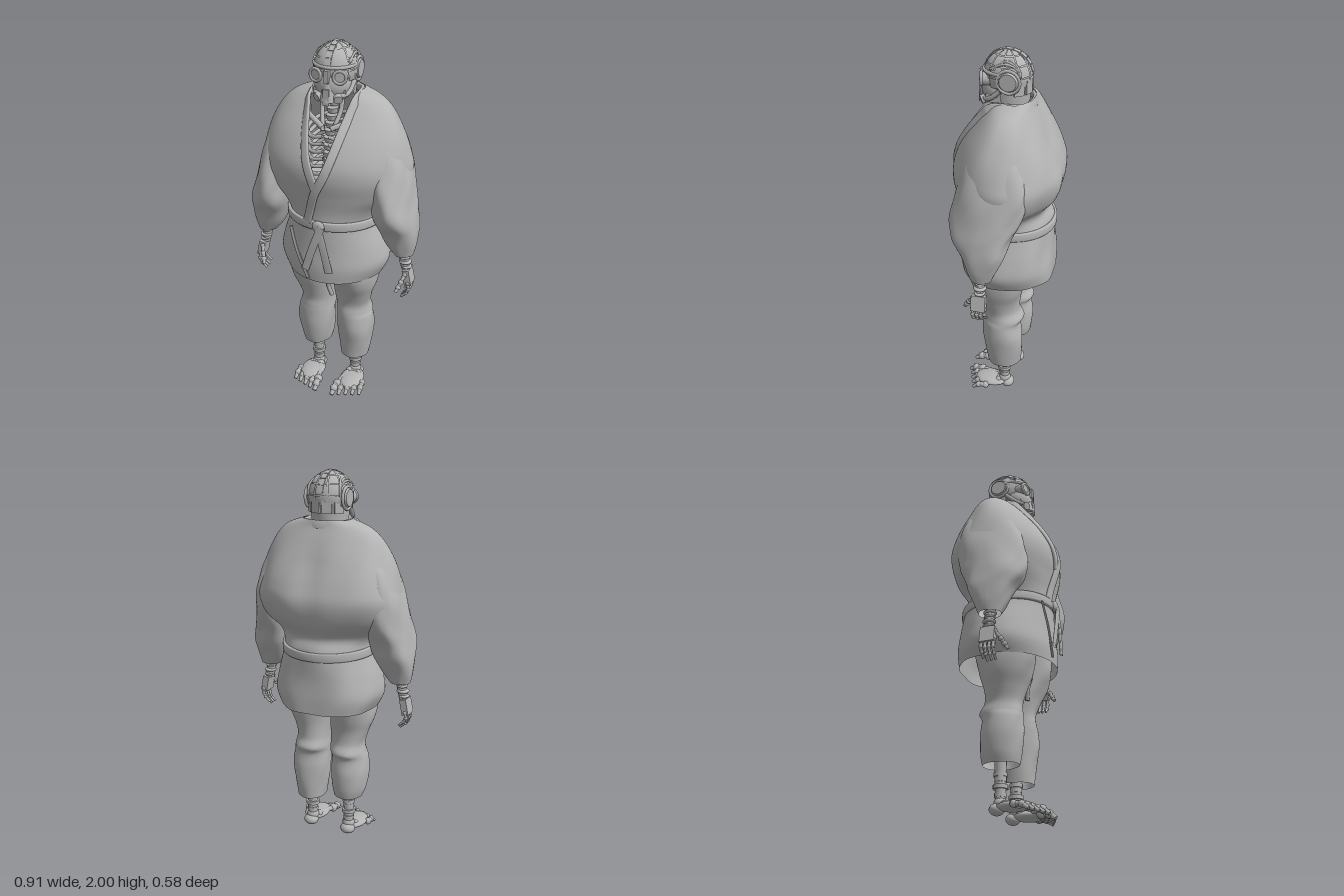
import * as THREE from 'three';
import { mergeVertices } from 'three/addons/utils/BufferGeometryUtils.js';

const grey = new THREE.MeshStandardMaterial({ color: 0xb4b4b4, side: THREE.DoubleSide });
grey.name = 'plain grey';
const V = (x, y, z) => new THREE.Vector3(x, y, z);

function add(parent, name, geo, x = 0, y = 0, z = 0) {
  const m = new THREE.Mesh(geo, grey);
  m.name = name;
  m.position.set(x, y, z);
  parent.add(m);
  return m;
}

function surface(rows, closed = false) {
  const n = rows[0].length, idx = [], pos = rows.flat().flatMap(p => [p.x, p.y, p.z]);
  for (let i = 0; i < rows.length - (closed ? 0 : 1); i++) for (let j = 0; j < n - 1; j++) {
    const a = i * n + j, b = ((i + 1) % rows.length) * n + j;
    idx.push(a, a + 1, b, b, a + 1, b + 1);
  }
  let g = new THREE.BufferGeometry();
  g.setAttribute('position', new THREE.Float32BufferAttribute(pos, 3));
  g.setIndex(idx);
  g = mergeVertices(g, 1e-5);
  g.computeVertexNormals();
  return g;
}

// Smooth cross-section [y, x0, x1, zBack, zFront] at t in 0..1
function section(secs, t) {
  const f = Math.min(t, 0.99999) * (secs.length - 1), i = Math.floor(f), u = f - i;
  const s = k => secs[Math.max(0, Math.min(secs.length - 1, k))];
  return secs[0].map((_, c) => {
    const a = s(i - 1)[c], b = s(i)[c], d = s(i + 1)[c], e = s(i + 2)[c];
    return b + 0.5 * u * (d - a + u * (2 * a - 5 * b + 4 * d - e + u * (3 * (b - d) + e - a)));
  });
}
const power = (v, p) => Math.sign(v) * Math.pow(Math.abs(v), p);

// Cloth loft listed from top to bottom; gap(y) is the half width of a front opening, back < 1 squares the back
function cloth(secs, { folds = () => 0, gap = () => 0, back = 1, rows = 56, cols = 72 } = {}) {
  const out = [];
  for (let i = 0; i <= rows; i++) {
    const [y, x0, x1, zb, zf] = section(secs, i / rows), row = [];
    const cx = (x0 + x1) / 2, cz = (zb + zf) / 2, rx = (x1 - x0) / 2, rz = (zf - zb) / 2;
    const open = Math.asin(Math.min(0.95, gap(y) / rx));
    for (let j = 0; j <= cols; j++) {
      const a = open + (2 * Math.PI - 2 * open) * j / cols, k = 1 + folds(a, y);
      const p = Math.cos(a) < 0 ? back : 1;
      row.push(V(cx + rx * power(Math.sin(a), p) * k, y, cz + rz * power(Math.cos(a), p) * k));
    }
    out.push(row);
  }
  return surface(out);
}

// Flattened band swept along points, facing along normalAt(point)
function band(points, width, thick, normalAt, closed = false) {
  const curve = new THREE.CatmullRomCurve3(points, closed), n = 64, rows = [];
  for (let i = 0; i < n + (closed ? 0 : 1); i++) {
    const p = curve.getPoint(i / n), N = normalAt(p).normalize();
    const side = curve.getTangent(i / n).cross(N).normalize(), row = [];
    for (let j = 0; j <= 12; j++) {
      const a = j / 12 * 2 * Math.PI;
      row.push(p.clone().addScaledVector(side, power(Math.cos(a), 0.5) * width / 2)
        .addScaledVector(N, power(Math.sin(a), 0.5) * thick / 2));
    }
    rows.push(row);
  }
  return surface(rows, closed);
}

// Mechanical bone with a ball joint at its start
function bone(parent, name, a, b, r, r2 = r * 0.8) {
  const d = b.clone().sub(a), m = add(parent, name, new THREE.CylinderGeometry(r2, r, d.length(), 10));
  m.position.copy(a).addScaledVector(d, 0.5);
  m.quaternion.setFromUnitVectors(V(0, 1, 0), d.normalize());
  add(parent, name + 'Joint', new THREE.SphereGeometry(r * 1.3, 10, 8), a.x, a.y, a.z);
}
const tube = (pts, r) => new THREE.TubeGeometry(new THREE.CatmullRomCurve3(pts), 32, r, 8);

const JACKET = [[1.765, .13, -.125, .06], [1.73, .225, -.135, .085], [1.67, .29, -.165, .135], [1.57, .345, -.215, .21],
  [1.46, .38, -.265, .265], [1.37, .392, -.287, .275], [1.27, .35, -.262, .258], [1.18, .265, -.205, .245],
  [1.1, .24, -.23, .245], [.96, .28, -.238, .25], [.86, .295, -.248, .258], [.78, .262, -.25, .255]]
  .map(([y, w, b, f]) => [y, -w, w, b, f]);
const neckGap = y => y > 1.37 ? 0.115 * Math.pow(Math.min(1, (y - 1.37) / 0.39), 0.65) : 0;

// Point on the jacket front
function front(x, y, lift = 0.006) {
  let lo = 0, hi = 1;
  for (let i = 0; i < 24; i++) {
    const m = (lo + hi) / 2;
    if (section(JACKET, m)[0] > y) lo = m; else hi = m;
  }
  const [, , w, b, f] = section(JACKET, lo);
  return V(x, y, (b + f) / 2 + (f - b) / 2 * Math.sqrt(Math.max(0, 1 - (x / w) ** 2)) + lift);
}

function buildClothes(g) {
  // Creases fade out at the front and collar; a valley runs down the middle of the back
  const folds = (a, y) => (1 - Math.cos(a)) / 2 * Math.min(1, (1.77 - y) * 5)
    * (0.016 * Math.sin(5 * a + 9 * y) + 0.012 * Math.sin(9 * a - 14 * y)
      - (y > 1.2 ? 0.05 * Math.exp(-(((a - Math.PI) / 0.16) ** 2)) * Math.sin((y - 1.2) * 5.5) : 0));
  add(g, 'jacket', cloth(JACKET, { folds, gap: neckGap, back: 0.92, rows: 80, cols: 96 }));
  // One lapel band runs up the right side, round the neck and down across the front
  const radial = p => V(p.x, 0.03, p.z + 0.02), pts = [];
  for (const y of [1.33, 1.4, 1.47, 1.55, 1.63, 1.7, 1.735]) pts.push(front(-neckGap(y) - 0.012, y));
  for (let i = 0; i <= 4; i++) {
    const a = -2.1 - i / 4 * 2.08;
    pts.push(V(0.125 * Math.sin(a), 1.742, -0.033 + 0.092 * Math.cos(a)));
  }
  for (const y of [1.735, 1.7, 1.63, 1.55, 1.47, 1.4]) pts.push(front(neckGap(y) + 0.012, y));
  pts.push(front(-.015, 1.3, .012), front(-.045, 1.2, .012), front(-.065, 1.13, .012));
  add(g, 'lapel', band(pts, 0.045, 0.018, radial));
  // Belt, knot and hanging ends
  const ring = Array.from({ length: 24 }, (_, i) => {
    const a = i / 24 * 2 * Math.PI;
    return V(0.248 * Math.sin(a), 1.102 + 0.014 * Math.cos(a), 0.007 + 0.246 * Math.cos(a));
  });
  add(g, 'belt', band(ring, 0.048, 0.02, p => V(p.x, 0, p.z), true));
  add(g, 'beltKnot', new THREE.SphereGeometry(0.034, 16, 12), 0, 1.115, 0.262).scale.set(1, 1, 0.45);
  const ahead = () => V(0, 0, 1);
  add(g, 'beltEnd', band([V(.02, 1.12, .272), V(-.025, 1, .276), V(-.07, .86, .274)], .042, .012, ahead));
  add(g, 'beltEnd', band([V(0, 1.12, .27), V(.03, 1, .275), V(.06, .86, .272)], .042, .012, ahead));
  add(g, 'jacketTie', band([V(-.16, 1.08, .24), V(-.12, .95, .258), V(-.06, .8, .262)], .018, .01, ahead));
  add(g, 'trouserCord', tube([V(-.01, .8, .1), V(.012, .74, .115), V(-.008, .68, .11), V(.008, .61, .1)], .012));

  for (const s of [1, -1]) {
    const mirror = secs => secs.map(([y, a, b, zb, zf]) => [y, Math.min(s * a, s * b), Math.max(s * a, s * b), zb, zf]);
    add(g, s > 0 ? 'leftSleeve' : 'rightSleeve', cloth(mirror([[1.62, .16, .29, -.11, .08], [1.52, .18, .35, -.145, .14],
      [1.38, .2, .397, -.165, .185], [1.24, .22, .425, -.14, .212], [1.15, .23, .446, -.1, .205], [1.07, .255, .457, -.078, .158],
      [.99, .29, .452, -.04, .125], [.93, .335, .438, -.012, .1]]),
    { folds: (a, y) => 0.026 * Math.sin(4 * a + 16 * y) + 0.014 * Math.sin(7 * a - 30 * y), back: 0.8 }));
    const hem = s > 0 ? 0.2 : 0.245;
    add(g, s > 0 ? 'leftTrouserLeg' : 'rightTrouserLeg', cloth(mirror([[.96, -.01, .24, -.15, .2], [.8, -.005, .25, -.125, .19],
      [.71, 0, .242, -.105, .165], [.63, .005, .215, -.085, .132], [.56, .01, .197, -.085, .111], [.51, .01, .204, -.108, .114],
      [.47, .012, .214, -.09, .117], [.39, .014, .22, -.102, .118], [.3, .022, .21, -.1, .106], [hem, .036, .192, -.09, .095]]),
    { folds: (a, y) => 0.018 * Math.sin(3 * a + s * 18 * y) + 0.012 * Math.sin(6 * a - 28 * y), rows: 72 }));
  }
}

function buildHead(g) {
  const head = new THREE.Group();
  head.name = 'head';
  g.add(head);
  add(head, 'skull', new THREE.SphereGeometry(1, 32, 24), 0, 1.875, 0.008).scale.set(.107, .117, .117);
  // Separate curved skull plates
  for (let r = 0; r < 4; r++) for (let c = 0; c < 10; c++) {
    const p = new THREE.SphereGeometry(1, 6, 5, (c + .05) * Math.PI / 5, .9 * Math.PI / 5, .12 + r * .47, .43);
    add(head, 'skullPlate', p, 0, 1.875, 0.006).scale.set(.114, .123, .121);
  }
  // Neck guard continuing the back of the skull into the collar
  add(head, 'neckGuard', new THREE.CylinderGeometry(1, .9, .13, 32, 1, true, Math.PI / 2 - .2, Math.PI + .4), 0, 1.81, 0)
    .scale.set(.104, 1, .11);
  for (const a of [-.9, -.3, .3, .9]) {
    const m = add(head, 'backPlate', new THREE.BoxGeometry(.05, .07, .012), .1 * Math.sin(a), 1.83, -.106 * Math.cos(a));
    m.rotation.y = -a;
  }
  // Segmented crest over the crown
  for (let i = 0; i < 9; i++) {
    const a = -1.25 + i * 0.3;
    const m = add(head, 'crest', new THREE.BoxGeometry(.028, .012, .034), 0, 1.875 + .119 * Math.cos(a), .006 + .118 * Math.sin(a));
    m.rotation.x = a;
  }
  add(head, 'face', new THREE.SphereGeometry(1, 24, 16), 0, 1.81, 0.055).scale.set(.092, .09, .085);
  add(head, 'brow', new THREE.TorusGeometry(.103, .009, 8, 24, Math.PI), 0, 1.9, .022).rotation.x = Math.PI / 2;
  add(head, 'noseBridge', new THREE.BoxGeometry(.024, .06, .04), 0, 1.86, .128);
  for (const s of [1, -1]) {
    // Goggle, ear disc, cables and cheek filter
    const eye = add(head, 'goggle', new THREE.CylinderGeometry(.03, .036, .05, 20), s * .06, 1.86, .102);
    eye.rotation.set(Math.PI / 2, 0, -s * .25);
    add(head, 'goggleRim', new THREE.TorusGeometry(.031, .008, 8, 20), s * .062, 1.86, .125).rotation.y = s * .25;
    const ear = add(head, 'earDisc', new THREE.CylinderGeometry(.042, .058, .03, 24), s * .102, 1.868, -.02);
    ear.rotation.z = -s * Math.PI / 2;
    add(head, 'earRim', new THREE.TorusGeometry(.056, .008, 8, 24), s * .104, 1.868, -.02).rotation.y = Math.PI / 2;
    for (let k = 0; k < 3; k++) add(head, 'cable', tube([V(s * (.09 + k * .003), 1.92, .075 - k * .012),
      V(s * (.092 - k * .013), 1.95 + k * .009, 0), V(s * .086, 1.925, -.06 - k * .005), V(s * .09, 1.84, -.065)], .006));
    const filter = add(head, 'cheekFilter', new THREE.CylinderGeometry(.022, .027, .05, 14), s * .045, 1.755, .11);
    filter.rotation.set(1.9, 0, -s * .5);
    add(head, 'breathingTube', tube([V(s * .05, 1.76, .12), V(s * .085, 1.77, .08), V(s * .098, 1.82, .02)], .012));
    add(head, 'jaw', new THREE.BoxGeometry(.025, .04, .11), s * .07, 1.77, .045);
  }
  add(head, 'mask', new THREE.CylinderGeometry(.026, .042, .09, 16), 0, 1.78, .115);
  add(head, 'maskValve', new THREE.BoxGeometry(.03, .08, .03), 0, 1.76, .138);
}

function buildSkeleton(g) {
  // Spine, throat and ribs showing through the open jacket
  for (let i = 0; i < 14; i++) {
    const y = 1.74 - i * .035;
    add(g, 'vertebra', new THREE.CylinderGeometry(.03, .024, .026, 12), 0, y, .04 + .08 * Math.min(1, i / 8));
  }
  for (const s of [1, -1]) {
    add(g, 'throatTube', tube([V(s * .045, 1.77, .06), V(s * .05, 1.69, .07), V(s * .025, 1.58, .13)], .012));
    add(g, 'collarBone', tube([V(s * .02, 1.6, .14), V(s * .1, 1.63, .09), V(s * .2, 1.65, 0)], .014));
    for (let i = 0; i < 7; i++) {
      const y = 1.56 - i * .04;
      add(g, 'rib', tube([V(s * .015, y, .15), V(s * .08, y - .012, .14), V(s * .135, y, .05), V(s * .1, y + .03, -.06), V(0, y + .04, -.1)], .01));
    }
    // Forearm, palm and fingers
    const arm = new THREE.Group();
    arm.name = s > 0 ? 'leftHand' : 'rightHand';
    g.add(arm);
    bone(arm, 'forearm', V(s * .365, 1.05, .045), V(s * .405, .84, .045), .03, .024);
    for (let i = 0; i < 4; i++) {
      const r = .034 - .004 * (i % 2);
      add(arm, 'wristRing', new THREE.SphereGeometry(r, 14, 10), s * (.388 + i * .006), .935 - i * .027, .045).scale.y = .4;
    }
    add(arm, 'palm', new THREE.BoxGeometry(.036, .085, .075), s * .42, .8, .047).rotation.z = s * .2;
    for (let i = 0; i < 4; i++) {
      const z = .015 + i * .021, tip = i === 0 ? .015 : 0;
      const p = [V(s * .428, .77, z), V(s * .432, .735 + tip / 2, z), V(s * .42, .705 + tip, z), V(s * .393, .68 + tip, z)];
      for (let k = 0; k < 3; k++) bone(arm, 'finger', p[k], p[k + 1], .0095 - k * .001);
    }
    const t = [V(s * .41, .82, .08), V(s * .398, .785, .105), V(s * .388, .76, .12), V(s * .378, .735, .135)];
    for (let k = 0; k < 3; k++) bone(arm, 'thumb', t[k], t[k + 1], .011);

    // Shin, ankle and foot
    const foot = new THREE.Group();
    foot.name = s > 0 ? 'leftFoot' : 'rightFoot';
    g.add(foot);
    bone(foot, 'shin', V(s * .113, .36, 0), V(s * .113, .06, 0), .034, .026);
    for (const [y, r] of [[.2, .034], [.175, .03], [.14, .038], [.1, .03]])
      add(foot, 'ankleRing', new THREE.CylinderGeometry(r, r, .02, 16), s * .113, y, 0);
    add(foot, 'ankle', new THREE.SphereGeometry(.034, 16, 12), s * .113, .06, 0);
    add(foot, 'heel', new THREE.SphereGeometry(1, 16, 12), s * .115, .034, -.018).scale.set(.042, .03, .038);
    add(foot, 'instep', new THREE.SphereGeometry(1, 16, 12), s * .12, .042, .075).scale.set(.068, .025, .095);
    for (let i = 0; i < 5; i++) {
      const kx = s * (.058 + i * .033), r = i === 0 ? .019 : .015, z = .15 - i * .014;
      bone(foot, 'footBone', V(s * (.09 + i * .013), .052, .03), V(kx, .04, z), r * .9);
      bone(foot, 'toe', V(kx, .038, z), V(kx + s * (i - 2) * .002, .036, z + .04), r);
      bone(foot, 'toeTip', V(kx + s * (i - 2) * .002, .034, z + .04), V(kx + s * (i - 2) * .003, .011, z + .075), r * .9, r * .6);
    }
  }
  add(g, 'pelvis', new THREE.SphereGeometry(1, 20, 14), 0, .85, .02).scale.set(.12, .11, .11);
}

export function createModel() {
  const g = new THREE.Group();
  g.name = 'robedRobot';
  buildClothes(g);
  buildHead(g);
  buildSkeleton(g);
  return g;
}
